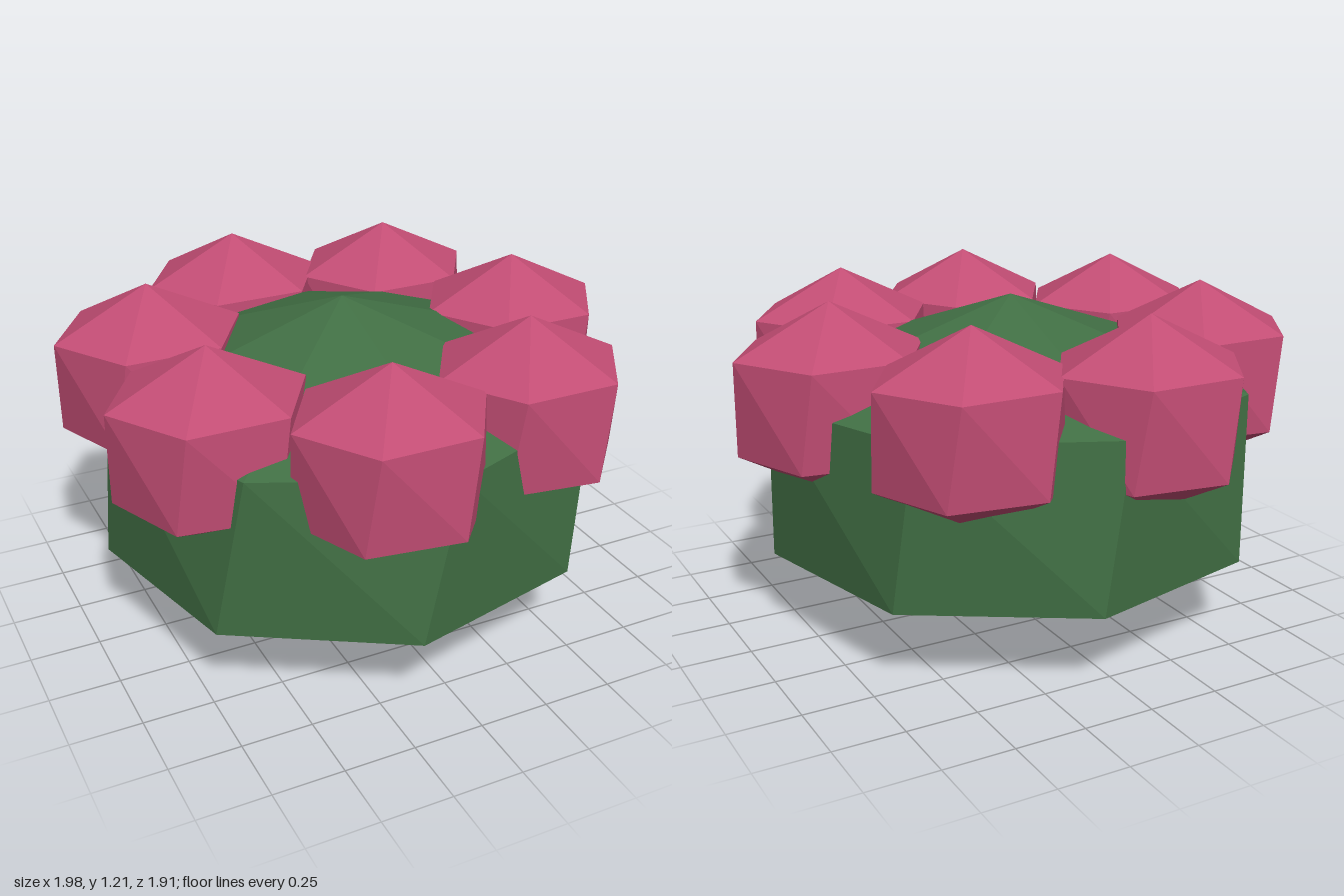
import * as THREE from 'three';

// Three-band faceted orb: lower ring of corners is twisted and sized apart from the upper one
function twistedOrb(sides, halfHeight, upper, lower, poleX = 0) {
  const geo = new THREE.SphereGeometry(1, sides, 3);
  const pos = geo.attributes.position;
  for (let i = 0; i < pos.count; i++) {
    const y = pos.getY(i);
    if (Math.abs(y) > 0.9) {
      pos.setXYZ(i, poleX, y * halfHeight, 0);
      continue;
    }
    const ring = y > 0 ? upper : lower;
    const a = Math.atan2(pos.getZ(i), pos.getX(i)) + THREE.MathUtils.degToRad(ring.twist);
    pos.setXYZ(i, ring.x + Math.cos(a) * ring.rx, y * halfHeight, Math.sin(a) * ring.rz);
  }
  const flat = geo.toNonIndexed();
  flat.computeVertexNormals();
  return flat;
}

export function createModel() {
  const model = new THREE.Group();
  model.name = 'cactus';
  const green = new THREE.MeshStandardMaterial({ color: 0x41704a, flatShading: true });
  green.color.set(0x416f44);
  const pink = new THREE.MeshStandardMaterial({ color: 0xc24d74, flatShading: true });

  // Squat eight-sided body
  const body = new THREE.Mesh(
    twistedOrb(8, 0.583,
      { twist: 1.8, x: -0.005, rx: 0.885, rz: 0.88 },
      { twist: 8.5, x: -0.025, rx: 0.888, rz: 0.888 }, -0.03),
    green);
  body.name = 'body';
  body.position.y = 0.583;
  model.add(body);

  // Ring of seven six-sided buds, all facing the same way
  const budGeo = twistedOrb(6, 0.34,
    { twist: 0, x: 0, rx: 0.34, rz: 0.312 },
    { twist: 9, x: 0, rx: 0.332, rz: 0.31 });
  const buds = new THREE.Group();
  buds.name = 'buds';
  for (let i = 0; i < 7; i++) {
    const a = (i / 7) * Math.PI * 2;
    const bud = new THREE.Mesh(budGeo, pink);
    bud.name = `bud${i + 1}`;
    bud.position.set(-0.025 + Math.cos(a) * 0.685, 0.87, Math.sin(a) * 0.682);
    buds.add(bud);
  }
  model.add(buds);
  return model;
}
